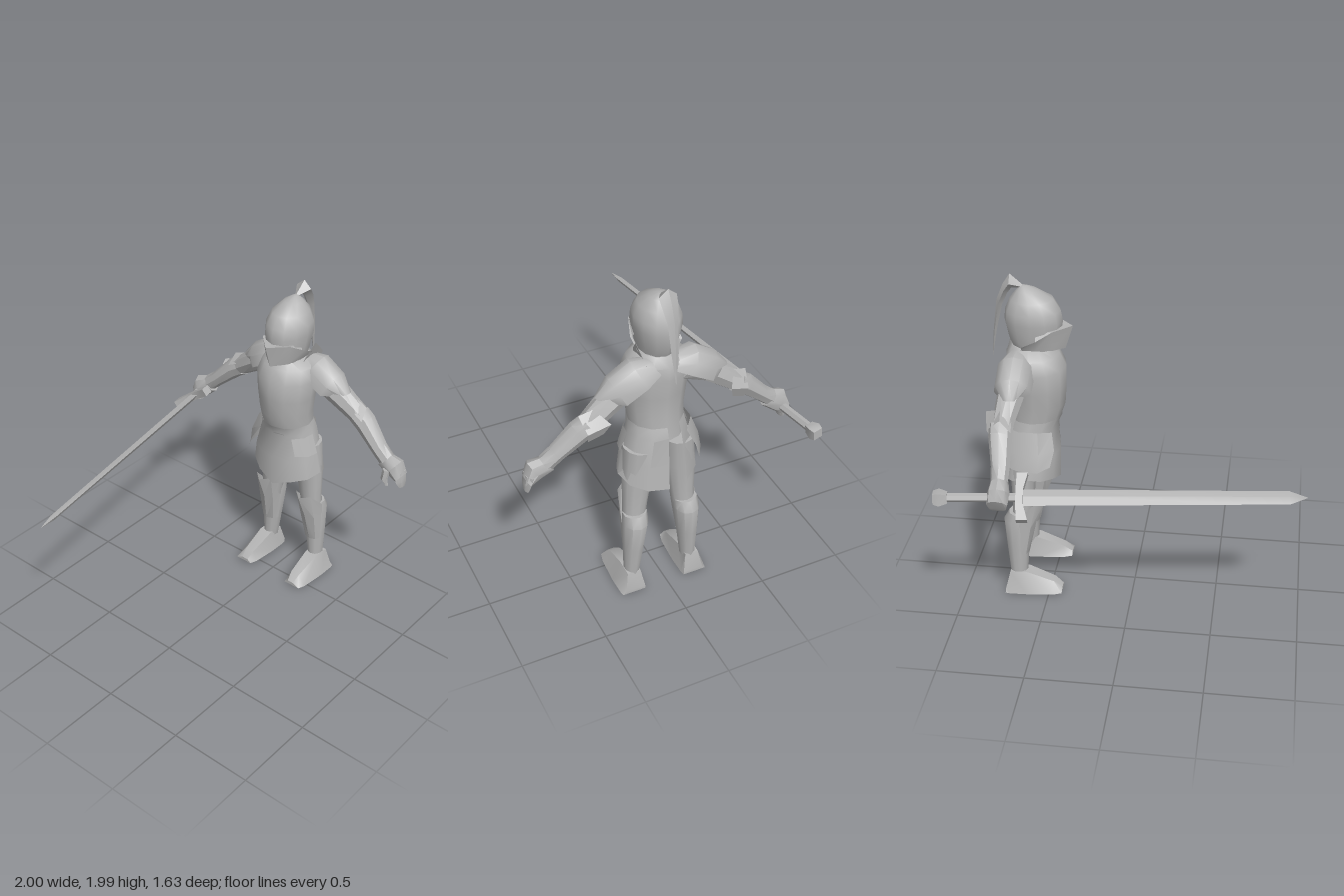
import * as THREE from 'three';
import { toCreasedNormals } from 'three/addons/utils/BufferGeometryUtils.js';

const V = (x, y, z) => new THREE.Vector3(x, y, z);
const MID = 0.015; // z of the body's mirror plane; the figure faces -x

// Ellipse ring round c, spanned by the half axes a and b
function ring(c, a, b, n = 10) {
  return Array.from({ length: n }, (_, i) => {
    const t = (i / n) * Math.PI * 2;
    return c.clone().addScaledVector(a, Math.cos(t)).addScaledVector(b, Math.sin(t));
  });
}
// Level ring from front x to back x; slope lifts the front above the back
const level = (y, front, back, hz, z = MID, n = 12, slope = 0) =>
  ring(V((front + back) / 2, y, z), V((back - front) / 2, -slope, 0), V(0, 0, hz), n);

// Skin over a row of equal point lists: capped solids, or open plates
function loft(rows, open = false) {
  const n = rows[0].length, pos = rows.flat().flatMap(p => [p.x, p.y, p.z]), idx = [];
  for (let r = 0; r < rows.length - 1; r++)
    for (let i = 0; i < (open ? n - 1 : n); i++) {
      const a = r * n + i, b = r * n + (i + 1) % n;
      idx.push(a, b, b + n, a, b + n, a + n);
    }
  if (!open) {
    const last = (rows.length - 1) * n;
    for (let i = 1; i < n - 1; i++) idx.push(0, i + 1, i, last, last + i, last + i + 1);
    // turn the faces outward when the volume comes out negative
    const p = rows.flat();
    let vol = 0;
    for (let i = 0; i < idx.length; i += 3)
      vol += p[idx[i]].dot(p[idx[i + 1]].clone().cross(p[idx[i + 2]]));
    if (vol < 0) idx.reverse();
  }
  const g = new THREE.BufferGeometry();
  g.setAttribute('position', new THREE.Float32BufferAttribute(pos, 3));
  g.setIndex(idx);
  return toCreasedNormals(g, 0.75);
}

export function createModel() {
  const steel = new THREE.MeshStandardMaterial({ color: 0xb4b4b4, side: THREE.DoubleSide });
  steel.name = 'steel grey';
  const model = new THREE.Group();
  model.name = 'armouredKnight';
  const add = (name, geo, parent = model) => {
    const m = new THREE.Mesh(geo, steel);
    m.name = name;
    parent.add(m);
    return m;
  };

  // Torso
  add('torso', loft([
    level(1.04, 0.46, 0.74, 0.155), level(1.2, 0.405, 0.725, 0.16), level(1.32, 0.395, 0.73, 0.175),
    level(1.44, 0.392, 0.74, 0.185), level(1.52, 0.43, 0.735, 0.165), level(1.575, 0.48, 0.7, 0.1),
  ]));
  add('neck', loft([level(1.54, 0.5, 0.69, 0.09), level(1.62, 0.5, 0.69, 0.09)]));

  // Skirt with a hem that rises at the sides
  const hem = level(0.755, 0.445, 0.785, 0.235);
  hem.forEach((p, i) => { p.y = [0.735, 0.745, 0.77, 0.8, 0.775, 0.75, 0.705][i > 6 ? 12 - i : i]; });
  add('skirt', loft([
    level(1.13, 0.425, 0.735, 0.158), level(1.07, 0.45, 0.755, 0.17),
    level(0.9, 0.44, 0.77, 0.215), hem,
  ], true));
  add('skirtSeam', loft([[V(0.753, 0.9, 0.12), V(0.75, 1.07, 0.1)], [V(0.77, 0.9, 0.015), V(0.755, 1.07, 0.015)]], true));

  // Hip plates
  add('rightHipPlate', loft([
    [V(0.47, 1.06, -0.1), V(0.45, 0.97, -0.15), V(0.47, 0.88, -0.19)],
    [V(0.54, 1.09, -0.17), V(0.53, 0.97, -0.215), V(0.54, 0.86, -0.235)],
    [V(0.65, 1.09, -0.17), V(0.66, 0.97, -0.215), V(0.66, 0.87, -0.235)],
    [V(0.74, 1.08, -0.1), V(0.76, 0.97, -0.15), V(0.75, 0.87, -0.18)],
  ], true));
  add('leftHipPlate', loft([
    [V(0.47, 1.06, 0.13), V(0.47, 0.95, 0.16)],
    [V(0.53, 1.06, 0.18), V(0.53, 0.94, 0.215)],
    [V(0.6, 1.06, 0.19), V(0.6, 0.94, 0.23)],
  ], true));

  // Helmet
  add('helmet', loft([
    level(1.56, 0.44, 0.69, 0.1), level(1.61, 0.42, 0.715, 0.108), level(1.72, 0.405, 0.736, 0.13),
    level(1.78, 0.415, 0.728, 0.128), level(1.845, 0.455, 0.7, 0.102), level(1.895, 0.54, 0.66, 0.055),
    level(1.92, 0.6, 0.635, 0.012),
  ]));

  // Beaked visor wrapping the jaw
  const visor = [[0.62, 1.6, 0.13, 1.57, 0.105], [0.54, 1.64, 0.132, 1.57, 0.105],
    [0.45, 1.69, 0.1, 1.565, 0.08], [0.35, 1.69, 0, 1.55, 0]];
  const visorRow = s => ([x, yt, zt, yb, zb]) => {
    const fx = x < 0.4 ? 0.395 : x + 0.01;
    return [V(x + 0.1 * (x < 0.5), yt - 0.005, MID + s * zt * 0.9), V(x, yt, MID + s * zt), V(fx, yb, MID + s * zb)];
  };
  add('visor', loft([...visor.map(visorRow(1)), ...visor.slice(0, 3).reverse().map(visorRow(-1))], true));

  // Crest plume: diamond sections of outer edge, side, inner edge, side
  const plume = [[0.615, 1.915, 0.62, 1.905, 0.006], [0.695, 1.985, 0.69, 1.9, 0.05],
    [0.735, 1.925, 0.712, 1.87, 0.045], [0.775, 1.83, 0.745, 1.8, 0.03],
    [0.8, 1.65, 0.782, 1.645, 0.02], [0.816, 1.475, 0.814, 1.475, 0.002]];
  add('plume', loft(plume.map(([x, y, u, v, w]) => [
    V(x, y, MID), V((x + u) / 2, (y + v) / 2, MID + w), V(u, v, MID), V((x + u) / 2, (y + v) / 2, MID - w),
  ])));

  // Limbs, built for both sides
  for (const s of [1, -1]) {
    const side = s > 0 ? 'left' : 'right';
    const Z = z => MID + s * z;

    add(side + 'Thigh', loft([
      level(0.98, 0.52, 0.73, 0.09, Z(0.115)), level(0.8, 0.565, 0.72, 0.09, Z(0.13)),
      level(0.6, 0.585, 0.712, 0.073, Z(0.145)), level(0.45, 0.6, 0.72, 0.062, Z(0.158)),
    ]));
    add(side + 'Calf', loft([
      level(0.54, 0.61, 0.735, 0.07, Z(0.157), 10), level(0.48, 0.605, 0.768, 0.074, Z(0.16), 10),
      level(0.3, 0.62, 0.755, 0.06, Z(0.17), 10), level(0.1, 0.635, 0.738, 0.043, Z(0.18), 10),
    ]));
    // Knee and shin plate, flared forward at the top
    add(side + 'Greave', loft([
      [V(0.65, 0.54, Z(0.085)), V(0.56, 0.63, Z(0.1)), V(0.51, 0.625, Z(0.155)), V(0.56, 0.63, Z(0.21)), V(0.65, 0.54, Z(0.235))],
      [V(0.67, 0.44, Z(0.095)), V(0.6, 0.45, Z(0.11)), V(0.575, 0.46, Z(0.16)), V(0.6, 0.45, Z(0.215)), V(0.67, 0.44, Z(0.23))],
      [V(0.67, 0.26, Z(0.115)), V(0.635, 0.26, Z(0.13)), V(0.62, 0.26, Z(0.172)), V(0.635, 0.26, Z(0.21)), V(0.67, 0.26, Z(0.225))],
    ], true));
    // Foot: sections from toe to heel
    const foot = [[0.42, 0.015, 0.035, 0.055, 0.02], [0.47, 0.01, 0.075, 0.068, 0.03], [0.63, 0.005, 0.135, 0.078, 0.04],
      [0.735, 0, 0.13, 0.075, 0.04], [0.762, 0, 0.02, 0.07, 0.06]];
    add(side + 'Foot', loft(foot.map(([x, y0, y1, w, t]) => [
      V(x, y0, Z(0.195 - w)), V(x, y0, Z(0.195 + w)), V(x, y1, Z(0.185 + t)), V(x, y1, Z(0.185 - t)),
    ])));

    // Arm sections run outward and down; tilt is the direction across the arm
    const across = (x, y, z, hx, h, n = 8) => ring(V(x, y, Z(z)), V(hx, 0, 0), V(0, h * 0.8, s * h * 0.6), n);
    add(side + 'UpperArm', loft([
      across(0.645, 1.46, 0.13, 0.085, 0.09), across(0.655, 1.4, 0.26, 0.08, 0.075),
      across(0.675, 1.29, 0.41, 0.062, 0.062), across(0.68, 1.24, 0.48, 0.055, 0.05),
    ]));
    add(side + 'Forearm', loft([
      across(0.685, 1.27, 0.435, 0.068, 0.062), across(0.68, 1.235, 0.49, 0.067, 0.062),
      across(0.66, 1.12, 0.61, 0.052, 0.048), across(0.655, 1.06, 0.68, 0.048, 0.05),
    ]));
    add(side + 'ElbowGuard', loft([
      [V(0.63, 1.32, Z(0.4)), V(0.69, 1.36, Z(0.41)), V(0.785, 1.31, Z(0.35)), V(0.75, 1.23, Z(0.38))],
      [V(0.62, 1.27, Z(0.5)), V(0.68, 1.335, Z(0.49)), V(0.76, 1.26, Z(0.47)), V(0.73, 1.19, Z(0.46))],
    ], true));

    // Shoulder plate: half rings open toward the arm
    const arc = (z, yTop, yLow, hx) => Array.from({ length: 7 }, (_, i) => {
      const t = (i / 6) * Math.PI;
      return V(0.655 + Math.cos(t) * hx, yLow + Math.sin(t) * (yTop - yLow), Z(z - 0.06 * (1 - Math.sin(t))));
    });
    add(side + 'ShoulderPlate', loft([
      arc(0.07, 1.56, 1.5, 0.06), arc(0.19, 1.57, 1.45, 0.108), arc(0.31, 1.495, 1.38, 0.105), arc(0.385, 1.4, 1.375, 0.045),
    ], true));

    // Hands: the left hangs open, the right grips the hilt
    if (s > 0) {
      add('leftHand', loft([
        across(0.655, 1.065, 0.66, 0.048, 0.055), across(0.65, 1.045, 0.73, 0.058, 0.065), across(0.655, 0.99, 0.775, 0.055, 0.03),
      ]));
      add('leftFingers', loft([
        level(1.03, 0.6, 0.71, 0.03, 0.775, 6), level(0.97, 0.605, 0.705, 0.024, 0.79, 6), level(0.93, 0.63, 0.69, 0.012, 0.8, 6),
      ]));
      add('leftThumb', loft([
        level(1.04, 0.58, 0.64, 0.025, 0.72, 6), level(0.98, 0.572, 0.61, 0.02, 0.715, 6), level(0.94, 0.585, 0.605, 0.008, 0.735, 6),
      ]));
    } else {
      add('rightHand', loft([
        across(0.655, 1.065, 0.66, 0.048, 0.055), across(0.65, 1.025, 0.73, 0.062, 0.07),
        across(0.655, 0.975, 0.765, 0.058, 0.05), across(0.655, 0.935, 0.75, 0.045, 0.02),
      ]));
    }
  }

  // Raised neck guard on the left shoulder
  add('neckGuard', loft([
    [V(0.55, 1.54, 0.13), V(0.56, 1.575, 0.14)], [V(0.64, 1.55, 0.12), V(0.63, 1.66, 0.16)],
    [V(0.74, 1.53, 0.13), V(0.73, 1.56, 0.14)],
  ], true));

  // Sword: local x runs to the tip, y across the blade, z through its flat
  const sword = new THREE.Group();
  sword.name = 'sword';
  const dir = V(-1.54, -0.03, 0.235).normalize();
  const flat = dir.clone().cross(V(0, 0.6, 0.8)).normalize();
  sword.quaternion.setFromRotationMatrix(new THREE.Matrix4().makeBasis(dir, flat.clone().cross(dir), flat));
  sword.position.set(0.54, 1.0, -0.7);
  model.add(sword);
  const diamond = (x, w, t) => [V(x, w, 0), V(x, 0, t), V(x, -w, 0), V(x, 0, -t)];
  add('blade', loft([diamond(0, 0.047, 0.02), diamond(1.46, 0.038, 0.016), diamond(1.558, 0.001, 0.001)]), sword);
  add('crossguard', loft([[-0.135, 0.03], [-0.04, 0.02], [0.04, 0.02], [0.135, 0.03]].map(([y, h]) => {
    const x = Math.abs(y) > 0.1 ? 0.015 : 0;
    return [V(x - h, y, -0.025), V(x + h, y, -0.025), V(x + h, y, 0.025), V(x - h, y, 0.025)];
  })), sword);
  const grip = add('grip', toCreasedNormals(new THREE.CylinderGeometry(0.025, 0.025, 0.41, 6), 0.75), sword);
  grip.rotation.z = Math.PI / 2;
  grip.position.x = -0.2;
  add('pommel', loft([diamond(-0.385, 0.035, 0.035), diamond(-0.43, 0.052, 0.05), diamond(-0.462, 0.04, 0.04)]), sword);

  return model;
}
